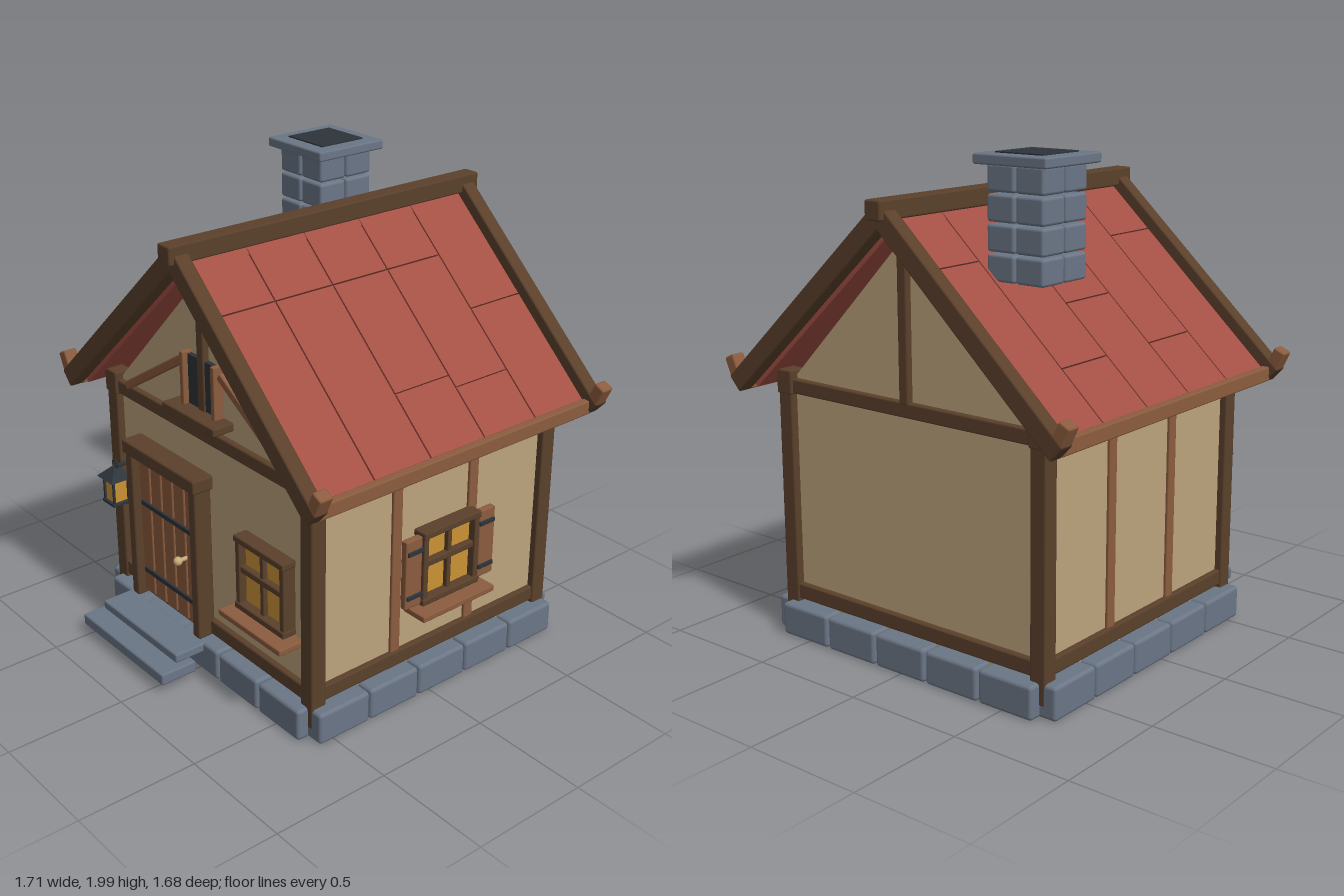
import * as THREE from 'three';
import { RoundedBoxGeometry } from 'three/addons/geometries/RoundedBoxGeometry.js';

const mat = (name, color) => {
  const m = new THREE.MeshStandardMaterial({ color });
  m.name = name;
  return m;
};
const plaster = mat('plaster', 0xbba37c);
const darkWood = mat('dark timber', 0x5a402b);
const midWood = mat('light timber', 0x8b5c3e);
const stone = mat('stone', 0x6b7686);
const tile = mat('roof tile', 0xa34f44);
const iron = mat('iron', 0x2d343a);
const amber = mat('lit glass', 0xcb9235);
const brass = mat('brass', 0xc8ac78);

const ZC = -0.065; // middle of the house along z
const ROOF = Math.atan(0.915); // roof pitch

function add(parent, name, geometry, material, x = 0, y = 0, z = 0, rz = 0) {
  const mesh = new THREE.Mesh(geometry, material);
  mesh.name = name;
  mesh.position.set(x, y, z);
  mesh.rotation.z = rz;
  parent.add(mesh);
  return mesh;
}

// slightly bevelled box given by its centre and size
function block(parent, name, material, x, y, z, w, h, d, rz = 0) {
  const r = Math.min(0.008, Math.min(w, h, d) * 0.2);
  return add(parent, name, new RoundedBoxGeometry(w, h, d, 1, r), material, x, y, z, rz);
}

function group(parent, name, x = 0, y = 0, z = 0) {
  const g = new THREE.Group();
  g.name = name;
  g.position.set(x, y, z);
  parent.add(g);
  return g;
}

// ring of stones with open corners, where the corner posts come down
function foundation(root) {
  const g = group(root, 'foundation', 0, 0.077, ZC);
  for (let i = -2; i <= 2; i++) for (const s of [-1, 1]) {
    const a = new RoundedBoxGeometry(0.25, 0.135, 0.14, 2, 0.015);
    add(g, 'foundationStone', a, stone, i * 0.26, 0, s * 0.615);
    add(g, 'foundationStone', a, stone, s * 0.648, 0, i * 0.255).rotation.y = Math.PI / 2;
  }
  const st = group(root, 'steps');
  block(st, 'upperStep', stone, -0.235, 0.122, 0.65, 0.54, 0.04, 0.21);
  block(st, 'lowerStep', stone, -0.23, 0.075, 0.762, 0.59, 0.05, 0.165);
}

function walls(root) {
  // walls and both gables in one solid
  const s = new THREE.Shape();
  s.moveTo(-0.64, 0.1).lineTo(0.64, 0.1).lineTo(0.64, 1.05).lineTo(0, 1.7).lineTo(-0.64, 1.05);
  add(root, 'plasterWalls', new THREE.ExtrudeGeometry(s, { depth: 1.21, bevelEnabled: false }), plaster, 0, 0, ZC - 0.605);

  const g = group(root, 'timberFrame', 0, 0, ZC);
  for (const sx of [-1, 1]) {
    for (const sz of [-1, 1]) {
      block(g, 'cornerPost', darkWood, sx * 0.635, 0.57, sz * 0.602, 0.07, 1.03, 0.07);
      block(g, 'postCap', darkWood, sx * 0.635, 1.065, sz * 0.602, 0.08, 0.1, 0.08);
    }
    block(g, 'sideSill', darkWood, sx * 0.635, 0.188, 0, 0.055, 0.065, 1.2);
    block(g, 'sideTopBeam', darkWood, sx * 0.635, 1.05, 0, 0.055, 0.06, 1.2);
    for (const z of [0.2, -0.2])
      block(g, 'sideStud', midWood, sx * 0.637, 0.62, z, 0.03, 0.82, 0.048);
  }
  for (const sz of [-1, 1]) {
    block(g, 'endSill', darkWood, 0, 0.188, sz * 0.605, 1.22, 0.065, 0.05);
    block(g, 'gableBeam', darkWood, 0, 1.05, sz * 0.605, 1.22, 0.06, 0.05);
    block(g, 'gablePost', darkWood, 0, 1.4, sz * 0.61, 0.045, 0.66, 0.045);
  }
}

function roof(root) {
  const g = group(root, 'roof', 0, 0, ZC);
  const len = 0.77 / Math.cos(ROOF);
  // cross joints of each tile column from back to front, as distances from the ridge
  const joints = {
    '1': [[0.38], [0.19, 0.59], [0.19, 0.55], [0.19], [0.19]],
    '-1': [[0.19], [0.57], [0.38], [0.57], [0.19]],
  };
  for (const s of [-1, 1]) {
    const slope = group(g, 'roofSlope', 0, 1.775, 0);
    slope.rotation.z = -s * ROOF;
    add(slope, 'roofBoard', new THREE.BoxGeometry(len, 0.03, 1.37), tile, s * len / 2, -0.03);
    joints[s].forEach((cuts, i) => {
      const ends = [0, ...cuts.map(c => c / Math.cos(ROOF)), len];
      for (let k = 0; k + 1 < ends.length; k++) {
        const w = ends[k + 1] - ends[k] - 0.006;
        add(slope, 'roofTile', new THREE.BoxGeometry(w, 0.016, 0.27), tile,
          s * (ends[k] + ends[k + 1]) / 2, -0.008, (i - 2) * 0.277);
      }
    });
    block(g, 'eaveBoard', midWood, s * 0.773, 1.06, 0, 0.036, 0.06, 1.4);
    // sloping end boards with tilted blocks at their feet
    for (const z of [-0.72, 0.72]) {
      block(g, 'rakeBoard', darkWood, s * 0.4, 1.42, z, 1.09, 0.08, 0.065, -s * ROOF);
      block(g, 'rakeFootBlock', midWood, s * 0.815, 1.123, z, 0.052, 0.085, 0.06, -s * 0.44);
    }
  }
  block(g, 'ridgeBeam', darkWood, 0, 1.807, 0, 0.075, 0.075, 1.55);
}

function chimney(root) {
  const g = group(root, 'chimney', -0.342, 0, -0.332);
  for (let row = 0; row < 4; row++)
    for (const sx of [-1, 1]) for (const sz of [-1, 1])
      add(g, 'chimneyStone', new RoundedBoxGeometry(0.127, 0.102, 0.13, 2, 0.012), stone,
        sx * 0.067, 1.58 + row * 0.109, sz * 0.067);
  block(g, 'chimneyCap', stone, 0, 1.975, 0, 0.335, 0.04, 0.335);
  add(g, 'flueOpening', new THREE.BoxGeometry(0.215, 0.008, 0.215), iron, 0, 1.996, 0);
}

// window on a wall plane, facing local +z
function houseWindow(parent, name, shutters) {
  const g = group(parent, name);
  add(g, 'glass', new THREE.BoxGeometry(0.27, 0.29, 0.03), amber, 0, 0, 0.012);
  for (const s of [-1, 1]) {
    block(g, 'frameSide', darkWood, s * 0.136, 0, 0.03, 0.026, 0.3, 0.06);
    block(g, 'frameRail', darkWood, 0, s * 0.147, 0.033, 0.305, 0.028, 0.066);
    if (!shutters) continue;
    block(g, 'shutter', midWood, s * 0.196, 0, 0.04, 0.084, 0.3, 0.03);
    for (const y of [-0.12, 0.075])
      block(g, 'shutterHinge', iron, s * 0.192, y + 0.02, 0.057, 0.08, 0.018, 0.012);
  }
  block(g, 'verticalBar', darkWood, 0, 0, 0.025, 0.022, 0.29, 0.045);
  block(g, 'crossBar', darkWood, 0, 0.015, 0.028, 0.29, 0.028, 0.05);
  block(g, 'windowSill', midWood, 0, -0.183, 0.055, 0.385, 0.026, 0.12);
  return g;
}

function door(root) {
  const g = group(root, 'door', -0.23, 0, 0.545);
  add(g, 'doorBacking', new THREE.BoxGeometry(0.41, 0.68, 0.03), iron, 0, 0.49, 0.01);
  for (let i = -2; i <= 2; i++)
    block(g, 'doorPlank', midWood, i * 0.081, 0.495, 0.03, 0.074, 0.65, 0.03);
  for (const s of [-1, 1])
    block(g, 'doorJamb', darkWood, s * 0.222, 0.485, 0.04, 0.046, 0.67, 0.08);
  block(g, 'doorLintel', darkWood, 0, 0.845, 0.04, 0.505, 0.06, 0.1);
  for (const y of [0.28, 0.6])
    block(g, 'doorStrap', iron, 0, y, 0.048, 0.365, 0.022, 0.012);
  add(g, 'doorKnob', new THREE.SphereGeometry(0.019, 16, 12), brass, 0.12, 0.465, 0.085);
  add(g, 'knobStem', new THREE.CylinderGeometry(0.009, 0.009, 0.04, 10), brass, 0.12, 0.465, 0.062).rotation.x = Math.PI / 2;
}

function gableFront(root) {
  const g = group(root, 'gableWindow', 0, 0, 0.54);
  add(g, 'darkPane', new THREE.BoxGeometry(0.18, 0.22, 0.025), iron, 0, 1.25, 0.008);
  for (const s of [-1, 1]) {
    block(g, 'paneSide', midWood, s * 0.1, 1.26, 0.02, 0.024, 0.22, 0.05);
    const dx = 0.42, dy = 0.26;
    block(g, 'gableBrace', midWood, s * 0.325, 1.205, 0.012, Math.hypot(dx, dy), 0.036, 0.035, -s * Math.atan2(dy, dx));
  }
  block(g, 'gableSill', darkWood, 0, 1.137, 0.045, 0.34, 0.035, 0.1);
}

function lantern(root) {
  const g = group(root, 'lantern', -0.55, 0, 0.63);
  add(g, 'lanternGlass', new THREE.BoxGeometry(0.062, 0.1, 0.062), amber, 0, 0.62, 0);
  block(g, 'lanternBase', iron, 0, 0.563, 0, 0.088, 0.014, 0.088);
  block(g, 'lanternRim', iron, 0, 0.672, 0, 0.088, 0.012, 0.088);
  for (const sx of [-1, 1]) for (const sz of [-1, 1])
    block(g, 'lanternPost', iron, sx * 0.035, 0.618, sz * 0.035, 0.01, 0.11, 0.01);
  const cone = new THREE.CylinderGeometry(0.018, 0.08, 0.045, 4).toNonIndexed();
  cone.computeVertexNormals();
  add(g, 'lanternHood', cone, iron, 0, 0.697, 0).rotation.y = Math.PI / 4;
  add(g, 'lanternRing', new THREE.TorusGeometry(0.018, 0.004, 6, 20), iron, 0, 0.733, 0);
  block(g, 'lanternBracket', iron, 0, 0.72, -0.045, 0.014, 0.014, 0.09);
}

export function createModel() {
  const root = new THREE.Group();
  root.name = 'cottage';
  foundation(root);
  walls(root);
  roof(root);
  chimney(root);
  door(root);
  gableFront(root);
  lantern(root);
  houseWindow(root, 'frontWindow', false).position.set(0.388, 0.57, 0.54);
  const side = houseWindow(root, 'leftWindow', true);
  side.position.set(0.64, 0.57, -0.11);
  side.rotation.y = Math.PI / 2;
  return root;
}
